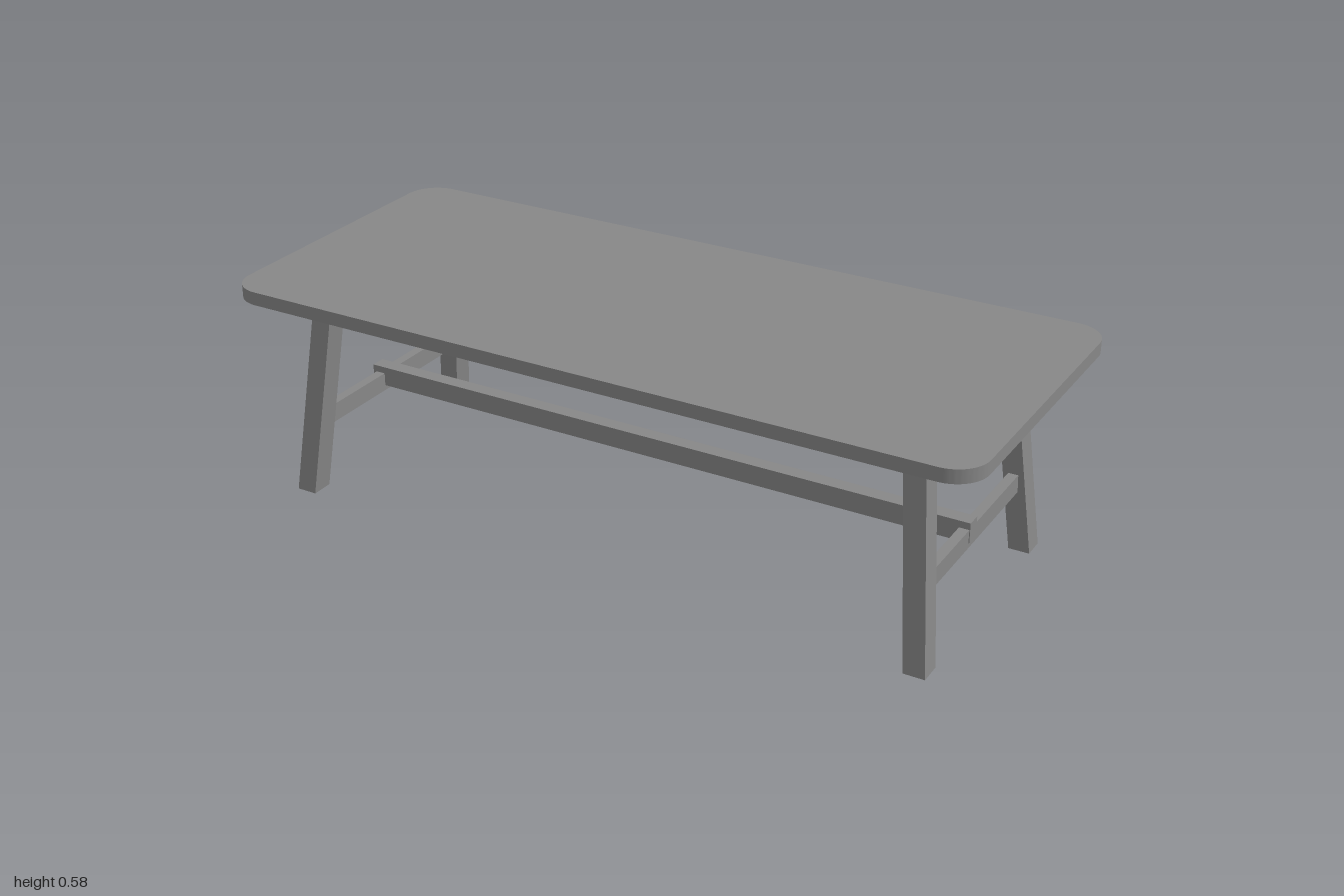
import * as THREE from 'three';
import { toCreasedNormals } from 'three/addons/utils/BufferGeometryUtils.js';

const TOP_Y = 0.581, UNDER_Y = 0.546;

export function createModel() {
  const table = new THREE.Group();
  table.name = 'table';
  const material = new THREE.MeshStandardMaterial({ color: 0x878787 });

  const add = (name, geometry, x = 0, y = 0, z = 0) => {
    const mesh = new THREE.Mesh(geometry, material);
    mesh.name = name;
    mesh.position.set(x, y, z);
    table.add(mesh);
  };

  // Tabletop: rounded rectangle slab
  const w = 1, d = 0.424, r = 0.085;
  const outline = new THREE.Shape();
  outline.absarc(w - r, d - r, r, 0, Math.PI / 2);
  outline.absarc(-w + r, d - r, r, Math.PI / 2, Math.PI);
  outline.absarc(-w + r, -d + r, r, Math.PI, Math.PI * 1.5);
  outline.absarc(w - r, -d + r, r, Math.PI * 1.5, Math.PI * 2);
  const slab = new THREE.ExtrudeGeometry(outline, {
    depth: TOP_Y - UNDER_Y, bevelEnabled: false, curveSegments: 10,
  });
  slab.rotateX(-Math.PI / 2);
  add('tabletop', toCreasedNormals(slab, Math.PI / 6), 0, UNDER_Y, 0);

  // Legs: square posts sheared outward in x and z, with level ends
  const splayedLeg = (sx, sz) => {
    const leg = new THREE.BoxGeometry(0.055, UNDER_Y, 0.059);
    leg.translate(0, UNDER_Y / 2, 0);
    const p = leg.attributes.position;
    for (let i = 0; i < p.count; i++) {
      const t = p.getY(i) / UNDER_Y;
      p.setX(i, p.getX(i) + sx * THREE.MathUtils.lerp(0.864, 0.808, t));
      p.setZ(i, p.getZ(i) + sz * THREE.MathUtils.lerp(0.322, 0.2625, t));
    }
    leg.computeVertexNormals();
    return leg;
  };

  for (const sx of [-1, 1]) {
    const side = sx > 0 ? 'left' : 'right';
    for (const sz of [-1, 1]) {
      add(`${side}${sz > 0 ? 'Front' : 'Back'}Leg`, splayedLeg(sx, sz));
    }
    // Cross stretcher between the two legs of this end
    add(`${side}CrossStretcher`, new THREE.BoxGeometry(0.026, 0.049, 0.57), sx * 0.841, 0.1975, 0);
  }

  // Long stretcher, let into the cross stretchers and slightly off centre
  add('longStretcher', new THREE.BoxGeometry(1.72, 0.053, 0.04), -0.004, 0.2135, 0.021);

  return table;
}
